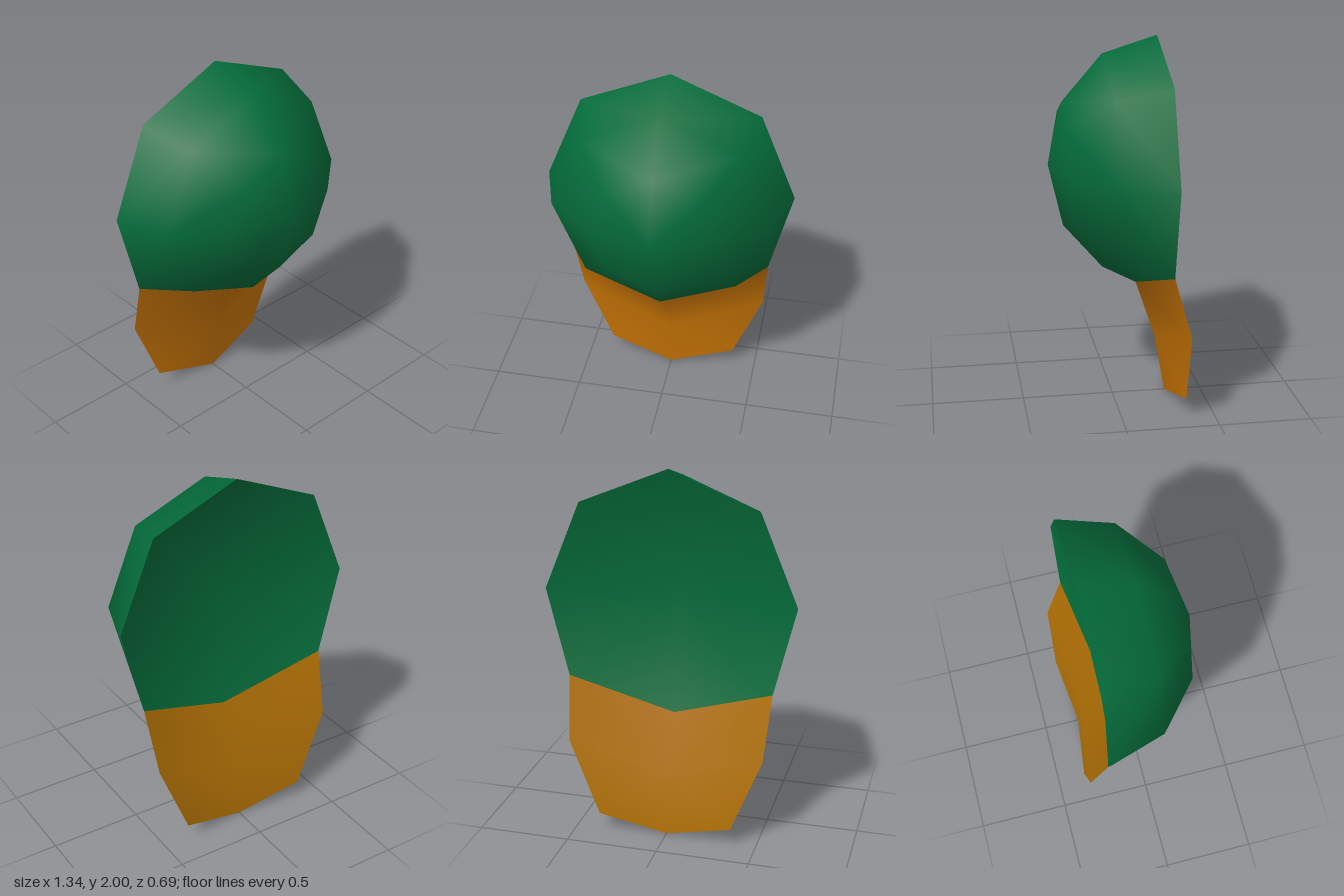
import * as THREE from 'three';

export function createModel() {
  const model = new THREE.Group();
  model.name = 'cap';
  const colour = (name, hex) => {
    const material = new THREE.MeshStandardMaterial({ color: hex, side: THREE.DoubleSide });
    material.name = name;
    return material;
  };
  const green = colour('green cloth', 0x046b3a);
  const orange = colour('orange cloth', 0xca7604);
  const ochre = colour('ochre cloth', 0xb07004);

  const sides = 8, rings = 3, radius = 0.672, depth = 0.58, backZ = -0.235;
  const ringIndex = (ring, i) => 1 + (ring - 1) * sides + (i % sides);

  // Dome points: a pole, then rings of eight opening toward the back
  const outer = [[0, 1.33, backZ + depth]];
  for (let ring = 1; ring <= rings; ring++) {
    const polar = (ring / rings) * Math.PI / 2;
    for (let i = 0; i < sides; i++) {
      const a = Math.PI / 2 + (i / sides) * Math.PI * 2;
      const r = radius * Math.sin(polar);
      outer.push([r * Math.cos(a), 1.33 + r * Math.sin(a), backZ + depth * Math.cos(polar)]);
    }
  }
  // Lower rim is widened and bowed forward where the brim joins
  outer[ringIndex(rings, 3)] = [-0.555, 0.85, backZ];
  outer[ringIndex(rings, 4)] = [0, 0.65, -0.13];
  outer[ringIndex(rings, 5)] = [0.555, 0.85, backZ];

  const domeFaces = [];
  for (let i = 0; i < sides; i++) {
    domeFaces.push(0, ringIndex(1, i), ringIndex(1, i + 1));
    for (let ring = 1; ring < rings; ring++) {
      const a = ringIndex(ring, i), b = ringIndex(ring + 1, i);
      const c = ringIndex(ring + 1, i + 1), d = ringIndex(ring, i + 1);
      if (i < sides / 2) domeFaces.push(a, b, c, a, c, d);
      else domeFaces.push(a, b, d, b, c, d);
    }
  }

  // Lining: a shallow dish closing the back of the dome
  const inner = [[0, 1.33, 0.02], ...outer.slice(ringIndex(rings, 0))];
  const liningFaces = [];
  for (let i = 0; i < sides; i++) liningFaces.push(0, ringIndex(1, i + 1), ringIndex(1, i));

  // Brim layer: bowed rows hanging from the lower rim. The upper quads of the
  // two layers fold along opposite diagonals, which keeps the layers apart.
  const addBrim = (points, rimRing, midZ, foldSide) => {
    const rows = [[3, 4, 5].map((i) => ringIndex(rimRing, i))];
    for (const [halfWidth, sideY, sideZ, centreY, centreZ] of [
      [0.53, 0.51, -0.335, 0.33, midZ],
      [0.365, 0.098, -0.345, 0, -0.297],
    ]) {
      const n = points.length;
      points.push([-halfWidth, sideY, sideZ], [0, centreY, centreZ], [halfWidth, sideY, sideZ]);
      rows.push([n, n + 1, n + 2]);
    }
    const faces = [];
    for (let r = 0; r < 2; r++) {
      for (let c = 0; c < 2; c++) {
        const a = rows[r][c], b = rows[r + 1][c], d = rows[r + 1][c + 1], e = rows[r][c + 1];
        if (c === (r === 0 ? foldSide : 0)) faces.push(a, b, e, b, d, e);
        else faces.push(a, b, d, a, d, e);
      }
    }
    return faces;
  };
  const brimFrontFaces = addBrim(outer, rings, -0.238, 0);
  const brimBackFaces = addBrim(inner, 1, -0.268, 1).reverse();

  // Each sheet shares its points, so shading runs smoothly across the seam
  const addSheet = (points, parts) => {
    const sheet = new THREE.BufferGeometry();
    sheet.setAttribute('position', new THREE.Float32BufferAttribute(points.flat(), 3));
    sheet.setIndex(parts.flatMap((part) => part.faces));
    sheet.computeVertexNormals();
    for (const { name, faces, material } of parts) {
      const geometry = sheet.clone();
      geometry.setIndex(faces);
      const mesh = new THREE.Mesh(geometry, material);
      mesh.name = name;
      model.add(mesh);
    }
  };
  addSheet(outer, [
    { name: 'dome', faces: domeFaces, material: green },
    { name: 'brimFront', faces: brimFrontFaces, material: orange },
  ]);
  addSheet(inner, [
    { name: 'lining', faces: liningFaces, material: green },
    { name: 'brimBack', faces: brimBackFaces, material: ochre },
  ]);
  return model;
}
